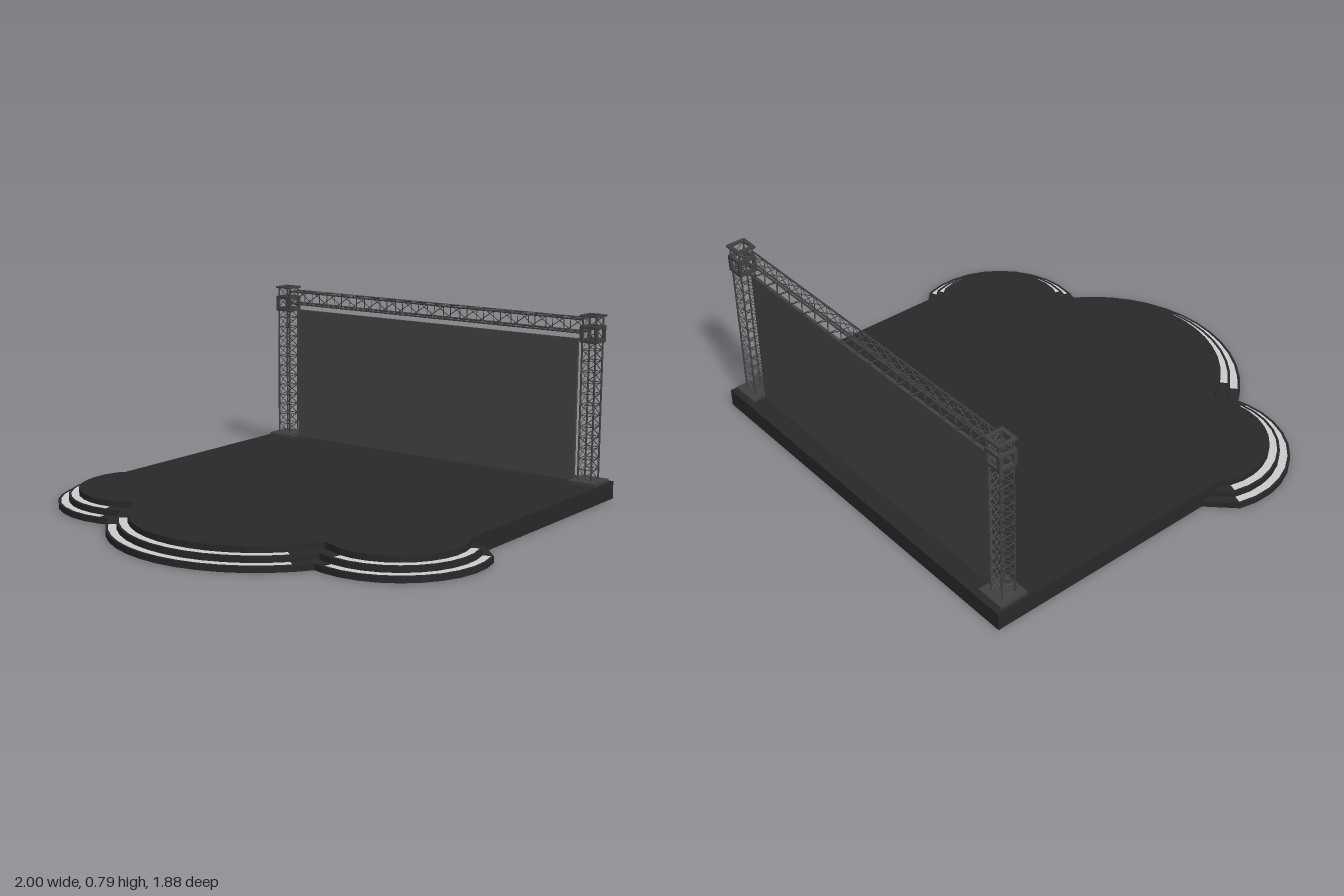
import * as THREE from 'three';
import { mergeGeometries } from 'three/addons/utils/BufferGeometryUtils.js';

const mat = (color) => new THREE.MeshStandardMaterial({ color, side: THREE.DoubleSide, flatShading: true });
const darkMat = mat(0x282828), lightMat = mat(0xcccccc), screenMat = mat(0x444444), trussMat = mat(0x404040);

const STEP = 0.025, TREAD = 0.043, NOSE = 0.011;
const SIDE_SEGS = 10, MID_SEGS = 6;
const TOWER_X = 0.8, TOWER_Z = -0.86;

// Stage outline (rectangle with three round lobes), inset by d at the lobes
function outline(d) {
  const side = { x: 0.63, z: 0.305, r: 0.37 - d }, mid = { z: 0.33, r: 0.61 - d };
  const half = [[0.875, -0.945], [0.875, 0.08 + 1.2 * d]];
  for (let i = 0; i <= SIDE_SEGS; i++) {
    const a = THREE.MathUtils.degToRad(-19 + 120 * i / SIDE_SEGS);
    half.push([side.x + side.r * Math.cos(a), side.z + side.r * Math.sin(a)]);
  }
  // notch where the side lobe meets the middle lobe
  const dz = side.z - mid.z, D = Math.hypot(side.x, dz);
  const a = (D * D + mid.r ** 2 - side.r ** 2) / (2 * D), h = Math.sqrt(mid.r ** 2 - a * a);
  half.push([(side.x * a - dz * h) / D, mid.z + (dz * a + side.x * h) / D]);
  for (let i = 0; i <= MID_SEGS; i++) {
    const t = THREE.MathUtils.degToRad(50 * (1 - i / MID_SEGS));
    half.push([mid.r * Math.sin(t), mid.z + mid.r * Math.cos(t)]);
  }
  return half.concat(half.slice(0, -1).reverse().map(([x, z]) => [-x, z]));
}

// Segments on the arcs carry the light strips; corners and notches stay dark
function onArc(i, n) {
  const k = Math.min(i, n - 2 - i), m = 4 + SIDE_SEGS;
  return (k >= 2 && k < 2 + SIDE_SEGS) || (k >= m && k < m + MID_SEGS);
}

// Strip of quads between two inset outlines
function band(name, d0, y0, d1, y1, material, keep = () => true) {
  const p = outline(d0), q = outline(d1), n = p.length, pos = [];
  for (let i = 0; i < n; i++) {
    if (!keep(i, n)) continue;
    const j = (i + 1) % n;
    const a = [p[i][0], y0, p[i][1]], b = [p[j][0], y0, p[j][1]];
    const c = [q[i][0], y1, q[i][1]], e = [q[j][0], y1, q[j][1]];
    pos.push(...a, ...c, ...b, ...b, ...c, ...e);
  }
  const g = new THREE.BufferGeometry();
  g.setAttribute('position', new THREE.Float32BufferAttribute(pos, 3));
  g.computeVertexNormals();
  return named(name, g, material);
}

function named(name, geometry, material) {
  const m = new THREE.Mesh(geometry, material);
  m.name = name;
  return m;
}

const box = (w, h, d, x = 0, y = 0, z = 0) => new THREE.BoxGeometry(w, h, d).translate(x, y, z);

// Thin round bar between two points
function bar(a, b, r) {
  const p = new THREE.Vector3(...a), q = new THREE.Vector3(...b), dir = q.clone().sub(p);
  const g = new THREE.CylinderGeometry(r, r, dir.length(), 6);
  g.applyQuaternion(new THREE.Quaternion().setFromUnitVectors(new THREE.Vector3(0, 1, 0), dir.normalize()));
  return g.translate(...p.add(q).multiplyScalar(0.5).toArray());
}

// Square lattice truss standing along y
function truss(length, width, bays) {
  const w = width / 2, parts = [], c = [[-w, -w], [w, -w], [w, w], [-w, w]];
  c.forEach(([x, z], k) => {
    const [x2, z2] = c[(k + 1) % 4];
    parts.push(bar([x, 0, z], [x, length, z], 0.004));
    for (let i = 0; i <= bays; i++) {
      const y = length * i / bays;
      parts.push(bar([x, y, z], [x2, y, z2], 0.0018));
      if (i < bays) parts.push(bar([x, y, z], [x2, y + length / bays, z2], 0.0018));
    }
  });
  return mergeGeometries(parts);
}

// Twelve square bars along the edges of a box
function boxFrame(s, h, t) {
  const parts = [], u = (s - t) / 2, v = (h - t) / 2;
  for (const i of [-1, 1]) for (const j of [-1, 1]) {
    parts.push(box(s, t, t, 0, i * v, j * u), box(t, h, t, i * u, 0, j * u), box(t, t, s, i * u, j * v, 0));
  }
  return mergeGeometries(parts);
}

function tower(name) {
  const g = new THREE.Group();
  g.name = name;
  g.add(named('basePlate', box(0.125, 0.018, 0.125, 0, 0.079, 0), trussMat));
  g.add(named('mast', truss(0.69, 0.062, 15).translate(0, 0.088, 0), trussMat));
  g.add(named('cornerBlock', boxFrame(0.08, 0.07, 0.013).translate(0, 0.705, 0), trussMat));
  const cap = [];
  for (const s of [-1, 1]) {
    cap.push(box(0.084, 0.008, 0.016, 0, 0.781, s * 0.034), box(0.016, 0.008, 0.084, s * 0.034, 0.781, 0));
  }
  g.add(named('topFrame', mergeGeometries(cap), trussMat));
  return g;
}

export function createModel() {
  const model = new THREE.Group();
  model.name = 'concertStage';

  // Hollow stepped platform
  const platform = new THREE.Group();
  platform.name = 'platform';
  for (let i = 0; i < 3; i++) {
    const d = i * TREAD, y = (i + 1) * STEP;
    platform.add(band('riser', d, i * STEP, d, y, darkMat));
    if (i === 2) break;
    platform.add(band('treadNosing', d, y, d + NOSE, y, darkMat));
    platform.add(band('treadStrip', d + NOSE, y, d + TREAD, y, lightMat, onArc));
    platform.add(band('treadJoint', d + NOSE, y, d + TREAD, y, darkMat, (k, n) => !onArc(k, n)));
  }
  const shape = new THREE.Shape(outline(2 * TREAD).map(([x, z]) => new THREE.Vector2(x, -z)));
  const deck = new THREE.ShapeGeometry(shape).rotateX(-Math.PI / 2).translate(0, 3 * STEP, 0);
  platform.add(named('deck', deck, darkMat));
  model.add(platform);

  // Backdrop
  model.add(named('screen', box(1.47, 0.605, 0.012, 0, 0.3775, TOWER_Z), screenMat));

  // Truss towers and crossbeam
  for (const s of [-1, 1]) {
    const t = tower(s > 0 ? 'leftTower' : 'rightTower');
    t.position.set(s * TOWER_X, 0, TOWER_Z);
    model.add(t);
  }
  const beam = truss(1.53, 0.056, 18).rotateZ(-Math.PI / 2).translate(-0.765, 0.737, TOWER_Z);
  model.add(named('crossbeam', beam, trussMat));
  return model;
}
